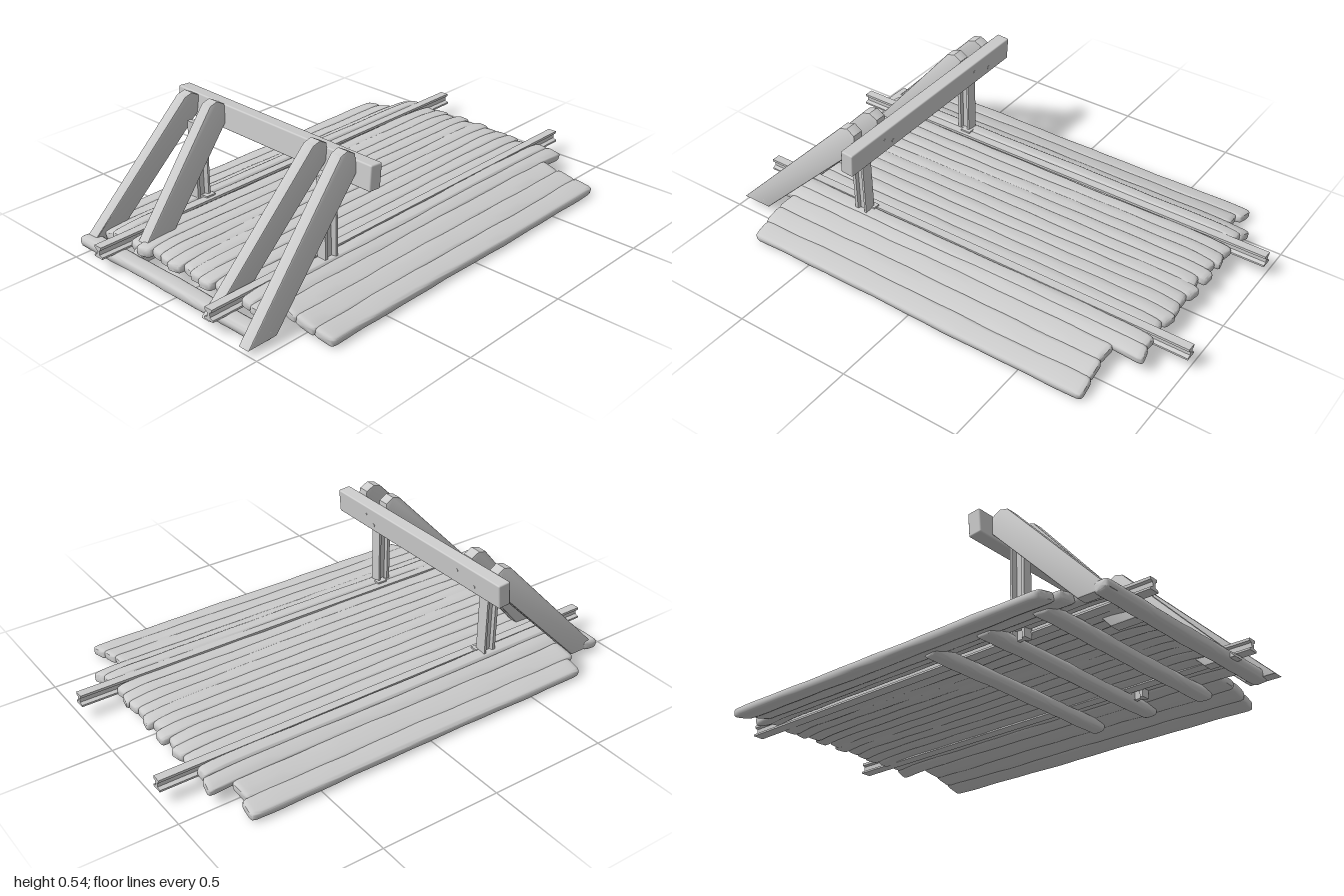
import * as THREE from 'three';
import { mergeVertices, toCreasedNormals } from 'three/addons/utils/BufferGeometryUtils.js';
import { RoundedBoxGeometry } from 'three/addons/geometries/RoundedBoxGeometry.js';

const material = new THREE.MeshStandardMaterial({ color: 0xcccccc, side: THREE.DoubleSide });

function add(group, name, geometry) {
  const mesh = new THREE.Mesh(geometry, material);
  mesh.name = name;
  group.add(mesh);
  return mesh;
}

// Rounded, slightly uneven timber lying along x, its ends drooping if wanted
function timberGeometry(length, height, width, seed, power, droop = 0) {
  const g = new THREE.CylinderGeometry(1, 1, 2, 20, 28);
  g.rotateZ(-Math.PI / 2);
  const p = g.attributes.position;
  const soften = (v) => Math.sign(v) * Math.pow(Math.abs(v), power);
  for (let i = 0; i < p.count; i++) {
    const t = Math.sin(p.getX(i) * Math.PI / 2);
    const a = Math.abs(t);
    const end = a > 0.999 ? 0.72 : a > 0.99 ? 0.92 : 1;
    const bump = 1 + 0.035 * Math.sin(t * 9 + seed * 2.3) + 0.035 * Math.sin(t * 21 + seed * 5.1);
    const sag = droop * Math.max(0, (a - 0.86) / 0.14) ** 1.5;
    const y = soften(p.getY(i)), z = soften(p.getZ(i));
    p.setXYZ(i, t * length / 2 + 0.005 * z * Math.sin(seed * 4),
      y * end * bump * height / 2 - sag,
      z * end * (1 + (bump - 1) * 0.5) * width / 2 + 0.002 * Math.sin(t * 4 + seed));
  }
  g.deleteAttribute('normal');
  g.deleteAttribute('uv');
  return toCreasedNormals(mergeVertices(g, 1e-5), 0.9);
}

// I-shaped section used for the rails and the upright posts
function railGeometry(width, depth, length) {
  const half = [[0.5, -0.5], [0.5, -0.34], [0.16, -0.22], [0.16, 0.18], [0.4, 0.28], [0.4, 0.5]];
  const outline = [...half, ...half.map(([x, y]) => [-x, y]).reverse()];
  const shape = new THREE.Shape(outline.map(([x, y]) => new THREE.Vector2(x * width, y * depth)));
  return new THREE.ExtrudeGeometry(shape, { depth: length, bevelEnabled: false });
}

// Sloping brace: side profile extruded across z, then splayed from foot to head
function braceGeometry(footX, footZ, headZ, headY) {
  const width = 0.05, bevel = 0.005;
  const points = [[footX, 0.02], [footX + 0.13, 0.02], [-0.41, headY - 0.085], [-0.415, headY - 0.02],
    [-0.45, headY], [-0.485, headY - 0.01]];
  const shape = new THREE.Shape(points.map(([x, y]) => new THREE.Vector2(x, y)));
  const g = new THREE.ExtrudeGeometry(shape, {
    depth: width - 2 * bevel, bevelThickness: bevel, bevelSize: bevel, bevelOffset: -bevel, bevelSegments: 2,
  });
  g.translate(0, 0, bevel - width / 2);
  const p = g.attributes.position;
  for (let i = 0; i < p.count; i++) {
    const t = (p.getY(i) - 0.02) / 0.52;
    p.setZ(i, p.getZ(i) + footZ + (headZ - footZ) * t);
  }
  return toCreasedNormals(g, 0.5);
}

export function createModel() {
  const model = new THREE.Group();
  let seed = 1;

  // Deck planks, close together
  const deck = new THREE.Group();
  deck.name = 'deck';
  model.add(deck);
  const plank = (name, x0, x1, y, z, width, tilt, droop) => {
    const mesh = add(deck, name, timberGeometry(x1 - x0, 0.038, width, seed++, 0.42, droop));
    mesh.position.set((x0 + x1) / 2, y, z);
    mesh.rotation.x = tilt;
  };
  for (let i = 0; i < 10; i++) {
    const z = -0.3 + i * 0.0575;
    const crown = 0.085 - 0.1 * (z + 0.04) ** 2;
    plank('middlePlank', -0.87 - 0.012 * Math.sin(i * 2.1), 0.855 + 0.013 * Math.sin(i * 2.7),
      crown, z, 0.066, 0, 0.012);
  }
  // Sloping planks outside each rail
  [
    ['shoulderPlank', -0.88, 0.85, 0.086, -0.4, 0.056, -0.12, 0.01],
    ['shoulderPlank', -0.88, 0.86, 0.067, -0.45, 0.07, -0.32, 0.008],
    ['outerPlank', -0.78, 0.77, 0.045, -0.523, 0.096, -0.27, 0],
    ['outerPlank', -0.755, 0.79, 0.027, -0.602, 0.085, -0.18, 0],
    ['shoulderPlank', -0.87, 0.86, 0.085, 0.313, 0.06, 0.05, 0.01],
    ['shoulderPlank', -0.87, 0.87, 0.073, 0.363, 0.066, 0.25, 0.008],
    ['outerPlank', -0.79, 0.75, 0.058, 0.43, 0.092, 0.2, 0],
    ['outerPlank', -0.79, 0.755, 0.043, 0.51, 0.092, 0.22, 0],
    ['outerPlank', -0.78, 0.765, 0.026, 0.59, 0.09, 0.2, 0],
  ].forEach((args) => plank(...args));

  // Cross ties under the deck
  [-0.915, -0.67, -0.42, -0.17].forEach((x, i) => {
    const tie = add(model, 'crossTie', timberGeometry(0.99, 0.045, 0.068, 20 + i, 0.6));
    tie.rotation.y = Math.PI / 2;
    tie.position.set(x, 0.034, -0.04);
  });

  // Rails
  [-0.352, 0.264].forEach((z) => {
    const rail = add(model, 'rail', railGeometry(0.046, 0.048, 2));
    rail.rotation.y = Math.PI / 2;
    rail.position.set(-1, 0.079, z);
  });

  // Upright posts with a small clamp against each rail
  [[-0.39, -0.365], [0.31, 0.285]].forEach(([z, clampZ]) => {
    const post = add(model, 'uprightPost', railGeometry(0.05, 0.06, 0.4));
    post.rotation.set(-Math.PI / 2, 0, Math.PI / 2);
    post.position.set(-0.47, 0.03, z);
    add(model, 'clamp', new THREE.BoxGeometry(0.045, 0.02, 0.03)).position.set(-0.45, 0.1, clampZ);
  });

  // Sloping braces
  [[-0.95, -0.505, -0.455, 0.525], [-0.91, -0.27, -0.312, 0.53], [-0.97, 0.212, 0.237, 0.54], [-1, 0.437, 0.37, 0.543]]
    .forEach((args) => add(model, 'brace', braceGeometry(...args)));

  // Square stop beam across the brace heads, with its bolts
  const beam = new THREE.Group();
  beam.name = 'stopBeam';
  beam.position.set(-0.392, 0.454, -0.04);
  beam.rotation.set(0.012, 0, -0.08);
  model.add(beam);
  add(beam, 'beamTimber', new RoundedBoxGeometry(0.056, 0.1, 1.03, 2, 0.006));
  [[0.01, 0.32], [-0.02, 0.27], [0.01, -0.27], [-0.02, -0.37]].forEach(([y, z]) => {
    const bolt = add(beam, 'bolt', new THREE.CylinderGeometry(0.007, 0.007, 0.06, 8));
    bolt.rotation.z = Math.PI / 2;
    bolt.position.set(0, y, z);
  });
  return model;
}
